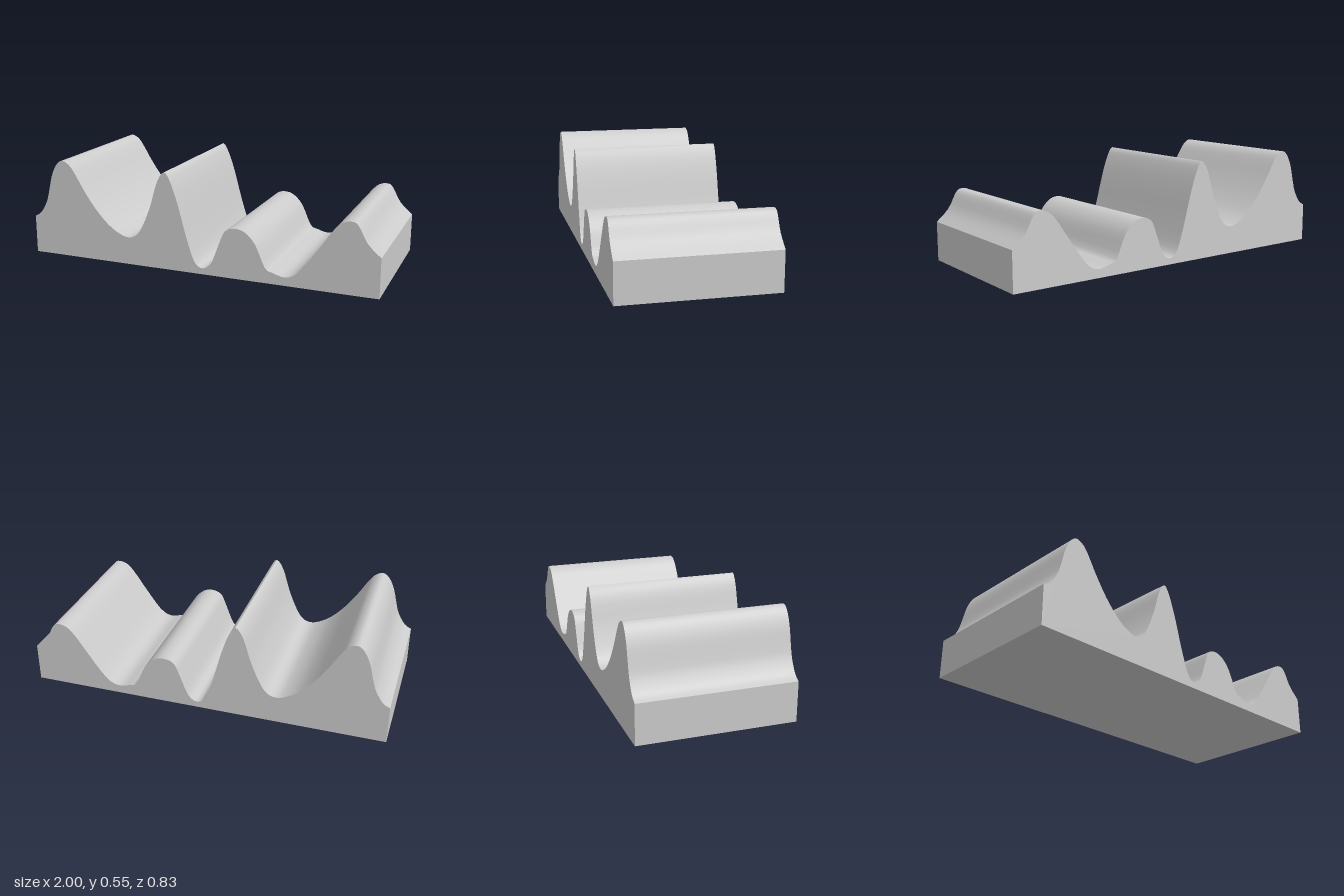
import * as THREE from 'three';
import { toCreasedNormals } from 'three/addons/utils/BufferGeometryUtils.js';

const DEPTH = 0.835;

// Crest line of the ridges, from the right end to the left end (x, y)
const CREST = [
  [-1, 0.215], [-0.96, 0.24], [-0.92, 0.305], [-0.9, 0.37], [-0.877, 0.46], [-0.845, 0.525],
  [-0.807, 0.552], [-0.76, 0.53], [-0.72, 0.475], [-0.675, 0.4], [-0.605, 0.3], [-0.525, 0.215],
  [-0.455, 0.17], [-0.4, 0.155], [-0.35, 0.175], [-0.31, 0.235], [-0.262, 0.35], [-0.22, 0.485],
  [-0.177, 0.543], [-0.14, 0.49], [-0.1, 0.375], [-0.055, 0.21], [-0.01, 0.075], [0.03, 0.035],
  [0.07, 0.045], [0.1, 0.085], [0.14, 0.19], [0.17, 0.255], [0.22, 0.277], [0.28, 0.265],
  [0.34, 0.205], [0.395, 0.085], [0.44, 0.062], [0.51, 0.047], [0.58, 0.085], [0.675, 0.215],
  [0.75, 0.325], [0.8, 0.375], [0.855, 0.385], [0.885, 0.36], [0.93, 0.28], [1, 0.215],
];

export function createModel() {
  const group = new THREE.Group();
  group.name = 'ridgedBlock';

  // Smooth crest closed by a flat base
  const curve = new THREE.SplineCurve(CREST.map(([x, y]) => new THREE.Vector2(x, y)));
  const outline = curve.getPoints((CREST.length - 1) * 3);
  const shape = new THREE.Shape([
    new THREE.Vector2(-1, 0), new THREE.Vector2(1, 0), ...outline.reverse(),
  ]);

  // Constant section through the whole depth, with sharp end faces
  const solid = new THREE.ExtrudeGeometry(shape, { depth: DEPTH, bevelEnabled: false });
  solid.translate(0, 0, -DEPTH / 2);
  const terrain = new THREE.Mesh(
    toCreasedNormals(solid, 0.7),
    new THREE.MeshStandardMaterial({ color: 0xcccccc }),
  );
  terrain.name = 'ridges';
  group.add(terrain);
  return group;
}
